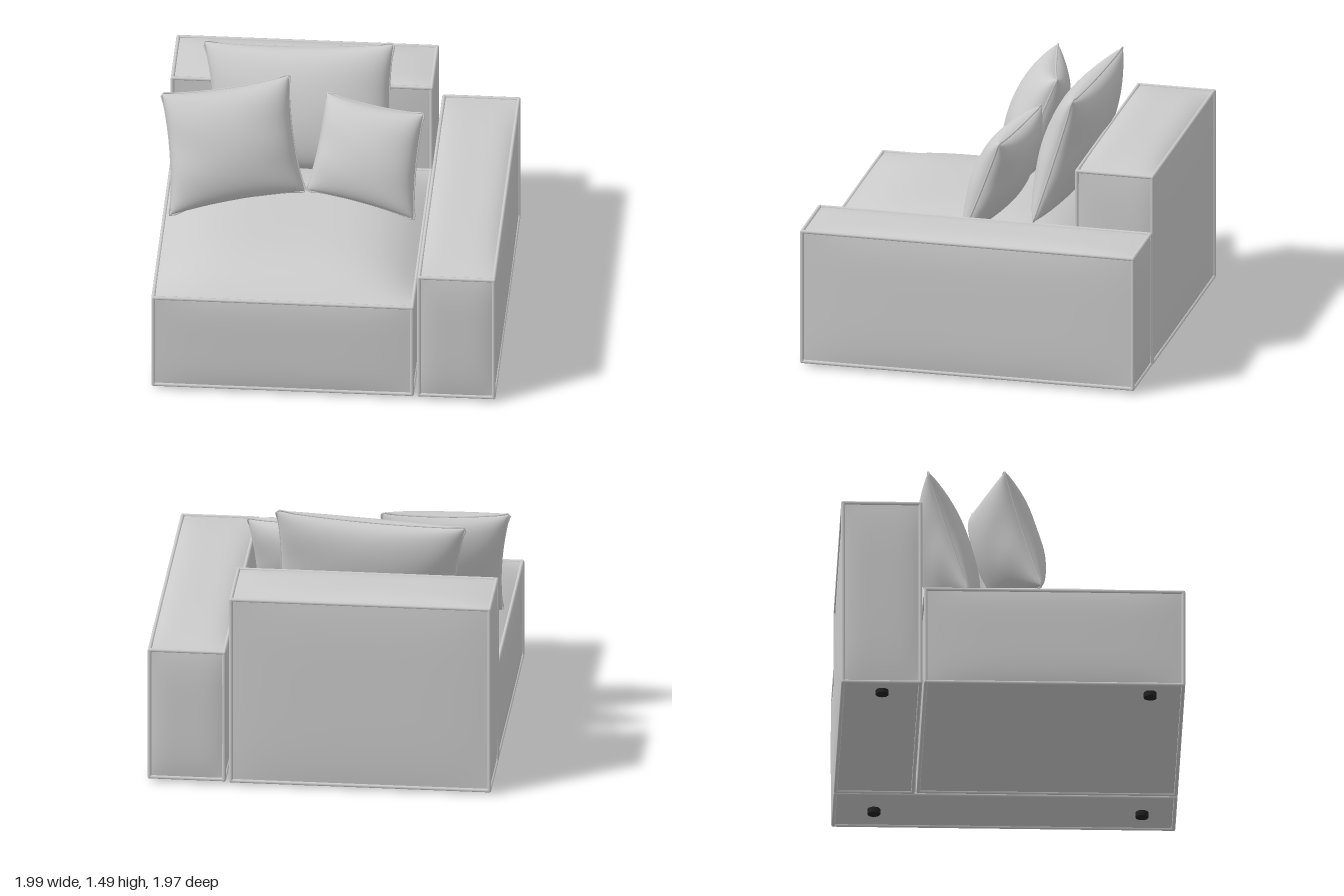
import * as THREE from 'three';
import { mergeVertices, mergeGeometries } from 'three/addons/utils/BufferGeometryUtils.js';

const fabric = new THREE.MeshStandardMaterial({ color: 0xcccccc });
const footMaterial = new THREE.MeshStandardMaterial({ color: 0x222222 });

function addMesh(parent, name, geometry, material = fabric) {
  const mesh = new THREE.Mesh(geometry, material);
  mesh.name = name;
  parent.add(mesh);
  return mesh;
}

// Box whose faces swell outwards while its edges stay straight
function paddedBox(min, max, crown, swell) {
  const size = max.map((v, i) => v - min[i]);
  const mid = max.map((v, i) => (v + min[i]) / 2);
  const geo = new THREE.BoxGeometry(...size, 24, 24, 24);
  const pos = geo.attributes.position, nor = geo.attributes.normal;
  const p = new THREE.Vector3(), n = new THREE.Vector3();
  for (let i = 0; i < pos.count; i++) {
    p.fromBufferAttribute(pos, i);
    n.fromBufferAttribute(nor, i);
    let amount = n.y > 0.5 ? crown : n.y < -0.5 ? 0 : swell;
    ['x', 'y', 'z'].forEach((axis, k) => {
      if (Math.abs(n[axis]) < 0.5) amount *= 1 - Math.pow(2 * p[axis] / size[k], 4);
    });
    p.addScaledVector(n, amount);
    pos.setXYZ(i, p.x, p.y, p.z);
  }
  geo.computeVertexNormals();
  return geo.translate(...mid);
}

// Rounded seam cord along all twelve edges of a box
function edgePiping(min, max, radius) {
  const parts = [];
  const up = new THREE.Vector3(0, 1, 0);
  for (let axis = 0; axis < 3; axis++) {
    const b = (axis + 1) % 3, c = (axis + 2) % 3;
    for (const eb of [min[b], max[b]]) for (const ec of [min[c], max[c]]) {
      const start = [], end = [];
      start[axis] = min[axis]; end[axis] = max[axis];
      start[b] = end[b] = eb;
      start[c] = end[c] = ec;
      const s = new THREE.Vector3(...start), e = new THREE.Vector3(...end);
      const geo = new THREE.CapsuleGeometry(radius, s.distanceTo(e), 3, 8);
      geo.applyQuaternion(new THREE.Quaternion().setFromUnitVectors(up, e.clone().sub(s).normalize()));
      const m = s.add(e).multiplyScalar(0.5);
      parts.push(geo.translate(m.x, m.y, m.z));
    }
  }
  return mergeGeometries(parts);
}

function block(name, min, max, crown, swell) {
  const group = new THREE.Group();
  group.name = name;
  addMesh(group, name + 'Padding', paddedBox(min, max, crown, swell));
  addMesh(group, name + 'Piping', edgePiping(min, max, 0.011));
  return group;
}

// Pillow spanned by four corners: bottom left, bottom right, top right, top left
function pillow(name, corners, half, pinch) {
  const [bl, br, tr, tl] = corners.map(c => new THREE.Vector3(...c));
  const normal = tr.clone().sub(bl).cross(tl.clone().sub(br)).normalize();
  const N = 36;
  const midSurface = (u, v) => {
    const a = (1 + u * (1 - pinch * (1 - v * v))) / 2;
    const b = (1 + v * (1 - pinch * (1 - u * u))) / 2;
    return bl.clone().lerp(br, a).lerp(tl.clone().lerp(tr, a), b);
  };
  const spread = i => Math.sin((i / N - 0.5) * Math.PI);
  const positions = [], index = [];
  for (const side of [1, -1]) {
    const base = positions.length / 3;
    for (let j = 0; j <= N; j++) for (let i = 0; i <= N; i++) {
      const u = spread(i), v = spread(j);
      const fill = Math.pow(Math.max(0, (1 - u * u) * (1 - v * v)), 0.42);
      // faint folds running in from the sides
      const fold = 1 + 0.05 * Math.sin(7 * v + 3 * u) * u * u;
      const p = midSurface(u, v).addScaledVector(normal, side * half * fill * fold);
      positions.push(p.x, p.y, p.z);
      if (i < N && j < N) {
        const a = base + j * (N + 1) + i, b = a + 1, c = b + N + 1, d = a + N + 1;
        if (side > 0) index.push(a, b, c, a, c, d);
        else index.push(a, c, b, a, d, c);
      }
    }
  }
  let geo = new THREE.BufferGeometry();
  geo.setAttribute('position', new THREE.Float32BufferAttribute(positions, 3));
  geo.setIndex(index);
  geo = mergeVertices(geo, 1e-5);
  geo.computeVertexNormals();

  // seam around the rim
  const rim = [];
  const ring = [[-1, -1], [1, -1], [1, 1], [-1, 1]];
  ring.forEach(([u, v], k) => {
    const [u2, v2] = ring[(k + 1) % 4];
    for (let s = 0; s < 10; s++) rim.push(midSurface(u + (u2 - u) * s / 10, v + (v2 - v) * s / 10));
  });
  const group = new THREE.Group();
  group.name = name;
  addMesh(group, name + 'Filling', geo);
  addMesh(group, name + 'Seam',
    new THREE.TubeGeometry(new THREE.CatmullRomCurve3(rim, true), 120, 0.006, 6, true));
  return group;
}

export function createModel() {
  const model = new THREE.Group();
  model.name = 'sofaCornerUnit';

  // Upholstered blocks
  model.add(block('seat', [-0.965, 0.03, -0.5], [0.51, 0.61, 0.965], 0.14, 0.016));
  model.add(block('backrest', [-0.965, 0.025, -0.97], [0.51, 1.145, -0.53], 0.035, 0.016));
  model.add(block('armrest', [0.55, 0.03, -0.97], [0.975, 0.815, 0.965], 0.03, 0.018));

  // Loose cushions
  model.add(pillow('backCushion', [
    [-0.71, 0.72, -0.25], [0.33, 0.75, -0.23], [0.3, 1.48, -0.45], [-0.78, 1.43, -0.48]], 0.155, 0.06));
  model.add(pillow('rightCushion', [
    [-0.93, 0.66, 0.16], [-0.17, 0.77, 0.02], [-0.28, 1.39, -0.22], [-0.99, 1.34, -0.05]], 0.165, 0.07));
  model.add(pillow('leftCushion', [
    [-0.16, 0.77, 0.01], [0.46, 0.69, 0.15], [0.5, 1.26, -0.07], [-0.06, 1.31, -0.18]], 0.14, 0.06));

  // Feet
  for (const x of [-0.85, 0.76]) for (const z of [0.78, -0.745]) {
    addMesh(model, 'foot', new THREE.CylinderGeometry(0.037, 0.037, 0.04, 24), footMaterial)
      .position.set(x, 0.02, z);
  }
  return model;
}
